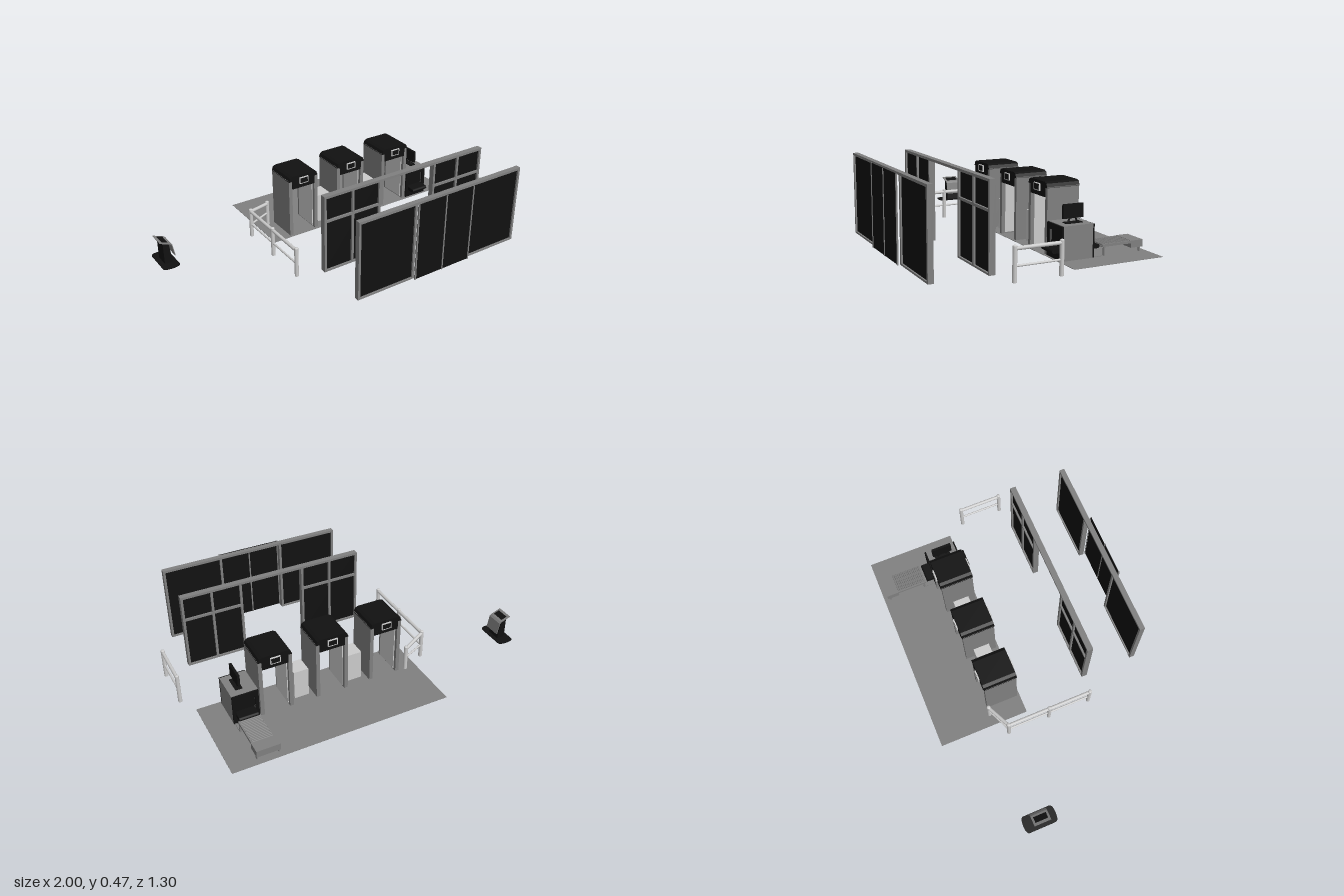
import * as THREE from 'three';

const mat = (color) => new THREE.MeshStandardMaterial({ color, side: THREE.DoubleSide });
const GREY = mat(0x808080), BLACK = mat(0x111111), LIGHT = mat(0xcccccc);

function group(name, parent) {
  const g = new THREE.Group();
  g.name = name;
  parent.add(g);
  return g;
}

function add(parent, name, geometry, material) {
  const m = new THREE.Mesh(geometry, material);
  m.name = name;
  parent.add(m);
  return m;
}

// Box given by its limits on each axis
function box(parent, name, material, [x0, x1], [y0, y1], [z0, z1]) {
  const m = add(parent, name, new THREE.BoxGeometry(x1 - x0, y1 - y0, z1 - z0), material);
  m.position.set((x0 + x1) / 2, (y0 + y1) / 2, (z0 + z1) / 2);
  return m;
}

// Round bar between two points
function bar(parent, name, material, a, b, r) {
  const from = new THREE.Vector3(...a), to = new THREE.Vector3(...b);
  const dir = to.clone().sub(from);
  const m = add(parent, name, new THREE.CylinderGeometry(r, r, dir.length(), 12), material);
  m.position.copy(from).add(to).multiplyScalar(0.5);
  m.quaternion.setFromUnitVectors(new THREE.Vector3(0, 1, 0), dir.normalize());
  return m;
}

// Outline in x and y, extruded between two z limits
function prism(parent, name, material, points, z0, z1) {
  const shape = new THREE.Shape(points.map(([x, y]) => new THREE.Vector2(x, y)));
  const m = add(parent, name, new THREE.ExtrudeGeometry(shape, { depth: z1 - z0, bevelEnabled: false }), material);
  m.position.z = z0;
  return m;
}

// Glazed wall with a doorway in the middle
function glassWall(parent, name, z0, z1, split) {
  const g = group(name, parent), z = [z0, z1], mid = (z0 + z1) / 2;
  const t = 0.014, h = 0.47;
  box(g, 'topRail', GREY, [-0.27, 0.84], [h - t, h], z);
  for (const [a, b] of [[-0.27, 0.103], [0.477, 0.84]]) {
    const c = (a + b) / 2;
    for (const x of [a, b - t]) box(g, 'post', GREY, [x, x + t], [0, h - t], z);
    box(g, 'bottomRail', GREY, [a + t, b - t], [0, 0.01], z);
    box(g, 'glassPane', BLACK, [a + t, b - t], [0.01, h - t], [mid - 0.006, mid + 0.006]);
    if (split) {
      box(g, 'middlePost', GREY, [c - t / 2, c + t / 2], [0.01, h - t], z);
      box(g, 'crossRail', GREY, [a + t, b - t], [0.31, 0.324], z);
    }
  }
  return g;
}

// Walk-through arch with grey sides and a black hood
function gate(parent, cx) {
  const g = group('gate', parent);
  g.position.x = cx;
  const w = 0.097, z0 = -0.318, z1 = -0.126;
  for (const s of [-1, 1]) {
    prism(g, 'sidePanel', GREY, [[s * w, 0], [s * w, 0.36], [s * (w - 0.022), 0.36], [s * (w - 0.022), 0]], z0, z1);
    prism(g, 'innerPanel', LIGHT, [[s * 0.075, 0.01], [s * 0.075, 0.3], [s * 0.07, 0.3], [s * 0.07, 0.01]], z0 + 0.02, z1 - 0.02);
  }
  prism(g, 'hood', BLACK, [[-w - 0.001, 0.355], [-w + 0.008, 0.378], [-w + 0.025, 0.386], [w - 0.025, 0.386],
    [w - 0.008, 0.378], [w + 0.001, 0.355], [w - 0.02, 0.355], [w - 0.022, 0.305], [-w + 0.022, 0.305], [-w + 0.02, 0.355]],
  z0 - 0.003, z1 + 0.003);
  // Framed signs at both ends
  for (const z of [z0 - 0.007, z1 + 0.007]) {
    const d = [z - 0.004, z + 0.004];
    box(g, 'sign', BLACK, [-0.026, 0.026], [0.334, 0.366], [z - 0.003, z + 0.003]);
    for (const y of [0.331, 0.366]) box(g, 'signFrame', LIGHT, [-0.028, 0.028], [y, y + 0.004], d);
    for (const x of [-0.029, 0.025]) box(g, 'signFrame', LIGHT, [x, x + 0.004], [0.331, 0.37], d);
  }
}

function railing(parent, points) {
  const g = group('railing', parent);
  points.forEach(([x, z, h], i) => {
    bar(g, 'railPost', LIGHT, [x, 0, z], [x, h - 0.006, z], 0.0115);
    const cap = add(g, 'postCap', new THREE.SphereGeometry(0.0115, 12, 6, 0, Math.PI * 2, 0, Math.PI / 2), LIGHT);
    cap.position.set(x, h - 0.006, z);
    cap.scale.y = 0.5;
    if (!i) return;
    const [px, pz, ph] = points[i - 1];
    bar(g, 'upperRail', LIGHT, [px, ph - 0.018, pz], [x, h - 0.018, z], 0.01);
    bar(g, 'lowerRail', LIGHT, [px, 0.08, pz], [x, 0.08, z], 0.006);
  });
}

function scanner(parent) {
  const g = group('baggageScanner', parent);
  const x0 = 0.64, x1 = 0.79, z = [-0.308, -0.132];
  // Cabinet around an open tunnel
  for (const x of [x0, x1 - 0.018]) box(g, 'cabinetSide', GREY, [x, x + 0.018], [0, 0.185], z);
  box(g, 'cabinetTop', GREY, [x0, x1], [0.155, 0.185], z);
  box(g, 'cabinetBottom', GREY, [x0, x1], [0, 0.045], z);
  for (const d of [[-0.317, -0.308], [-0.132, -0.123]]) {
    for (const x of [x0, x1 - 0.02]) box(g, 'endFrame', BLACK, [x, x + 0.02], [0, 0.182], d);
    box(g, 'endFrameTop', BLACK, [x0, x1], [0.15, 0.182], d);
    box(g, 'endFrameBottom', BLACK, [x0, x1], [0, 0.045], d);
  }
  for (const d of [-0.3, -0.14]) box(g, 'curtain', BLACK, [0.658, 0.772], [0.07, 0.155], [d - 0.001, d + 0.001]);
  // Belt with rounded ends
  box(g, 'belt', BLACK, [0.663, 0.772], [0.044, 0.066], [-0.352, -0.086]);
  for (const d of [-0.352, -0.086]) bar(g, 'beltRoller', BLACK, [0.663, 0.055, d], [0.772, 0.055, d], 0.011);
  // Monitor on two feet
  box(g, 'screen', BLACK, [0.724, 0.738], [0.21, 0.285], [-0.28, -0.16]);
  box(g, 'screenFoot', BLACK, [0.71, 0.75], [0.185, 0.189], [-0.27, -0.172]);
  for (const s of [-1, 1]) bar(g, 'screenLeg', BLACK, [0.73, 0.187, -0.22 + s * 0.028], [0.73, 0.215, -0.22 + s * 0.016], 0.005);
}

function rollerTable(parent) {
  const g = group('rollerTable', parent);
  for (const x of [0.655, 0.777]) {
    box(g, 'sideBeam', GREY, [x, x + 0.008], [0.05, 0.064], [-0.555, -0.372]);
    box(g, 'frontLeg', GREY, [x, x + 0.008], [0, 0.05], [-0.39, -0.38]);
    box(g, 'footBar', GREY, [x, x + 0.008], [0, 0.005], [-0.39, -0.315]);
    box(g, 'backLeg', GREY, [x, x + 0.008], [0, 0.026], [-0.615, -0.605]);
  }
  box(g, 'rollerBed', GREY, [0.663, 0.777], [0.05, 0.054], [-0.555, -0.372]);
  for (let i = 0; i < 16; i++) {
    const z = -0.379 - i * 0.0112;
    bar(g, 'roller', GREY, [0.663, 0.061, z], [0.777, 0.061, z], 0.0045);
  }
  box(g, 'endTray', GREY, [0.653, 0.787], [0.026, 0.065], [-0.627, -0.553]);
}

function kiosk(parent) {
  const g = group('kiosk', parent);
  g.position.set(-0.95, 0, -0.29);
  // Base with bowed ends
  const s = new THREE.Shape();
  s.moveTo(-0.05, -0.08);
  s.quadraticCurveTo(-0.048, -0.1, 0, -0.1);
  s.quadraticCurveTo(0.048, -0.1, 0.05, -0.08);
  s.lineTo(0.05, 0.08);
  s.quadraticCurveTo(0.048, 0.1, 0, 0.1);
  s.quadraticCurveTo(-0.048, 0.1, -0.05, 0.08);
  const base = add(g, 'base', new THREE.ExtrudeGeometry(s, { depth: 0.005, bevelEnabled: false }), BLACK);
  base.rotation.x = -Math.PI / 2;
  prism(g, 'column', BLACK, [[-0.022, 0.004], [0.027, 0.004], [0.012, 0.125], [-0.022, 0.138]], -0.042, 0.042);
  // Folded shell carrying the touch screen
  prism(g, 'shell', GREY, [[-0.042, 0.151], [0.02, 0.128], [0.03, 0.118], [0.043, 0.045],
    [0.039, 0.045], [0.026, 0.115], [0.018, 0.124], [-0.042, 0.147]], -0.05, 0.05);
  prism(g, 'touchScreen', BLACK, [[-0.026, 0.147], [0.009, 0.134], [0.009, 0.1335], [-0.026, 0.1465]], -0.038, 0.038);
}

export function createModel() {
  const model = new THREE.Group();
  model.name = 'securityCheckpoint';

  box(model, 'floor', GREY, [-0.34, 0.93], [0, 0.002], [-0.65, -0.11]);

  // Outer wall with a pair of closed sliding doors
  const outer = glassWall(model, 'outerWall', 0.6, 0.63, false);
  for (const x of [0.1, 0.29]) box(outer, 'slidingDoor', BLACK, [x, x + 0.19], [0.002, 0.465], [0.642, 0.645]);
  for (const x of [0.1, 0.288, 0.478]) box(outer, 'doorStile', GREY, [x - 0.004, x + 0.004], [0, 0.465], [0.64, 0.648]);

  // Inner wall with an open doorway
  glassWall(model, 'innerWall', 0.28, 0.314, true);

  for (const x of [-0.13, 0.203, 0.537]) gate(model, x);
  for (const x of [-0.003, 0.327]) box(model, 'cabinetBetweenGates', LIGHT, [x, x + 0.087], [0.002, 0.18], [-0.272, -0.175]);

  scanner(model);
  rollerTable(model);
  railing(model, [[-0.27, -0.32, 0.16], [-0.415, -0.255, 0.182], [-0.415, 0, 0.182], [-0.415, 0.255, 0.182]]);
  railing(model, [[0.985, 0, 0.182], [0.985, 0.255, 0.182]]);
  kiosk(model);
  return model;
}
